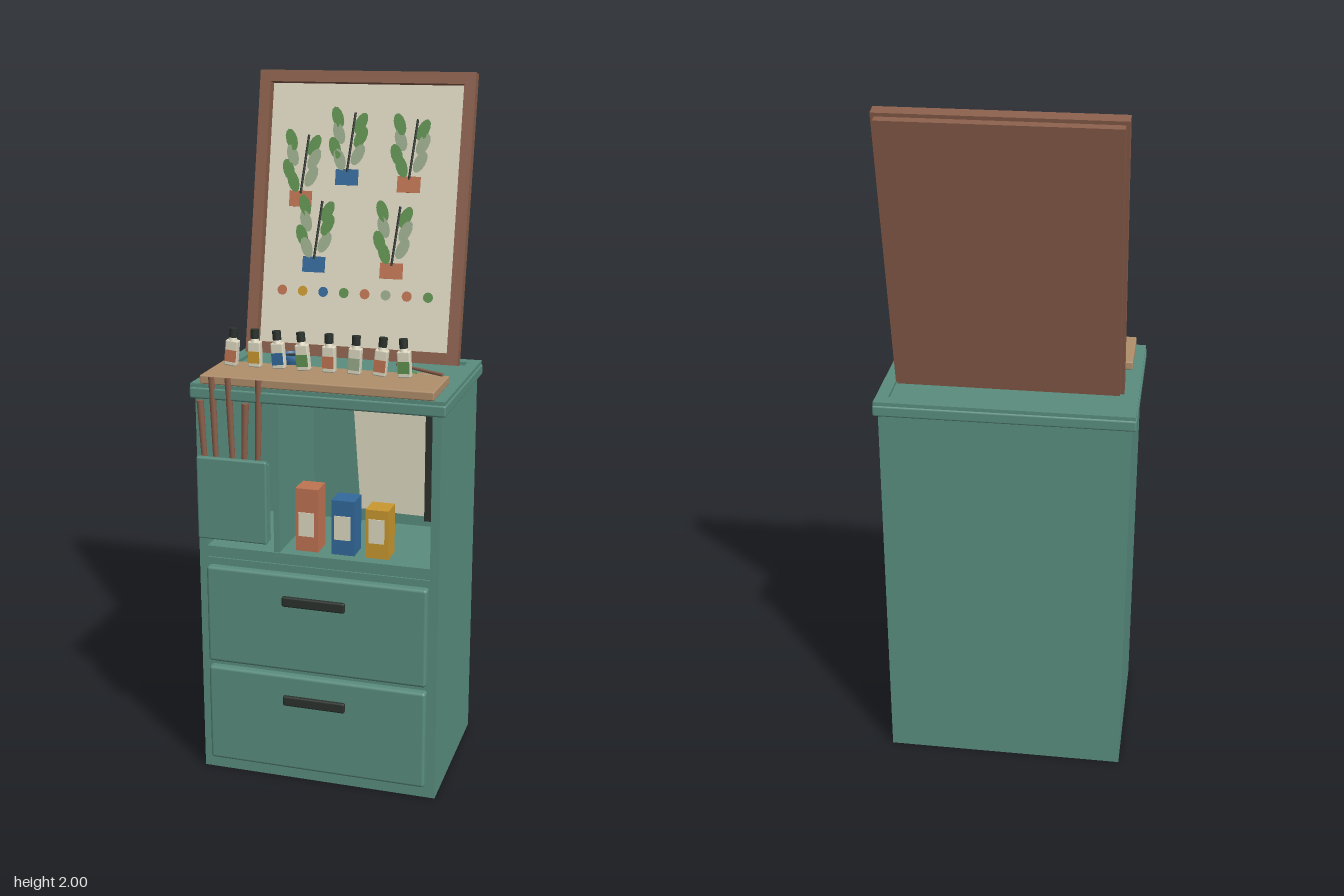
import * as THREE from 'three';
import { RoundedBoxGeometry } from 'three/addons/geometries/RoundedBoxGeometry.js';

const mat = (name, color) => new THREE.MeshStandardMaterial({ name, color });
const M = {
  teal: mat('teal paint', 0x5a8d7f), wood: mat('brown wood', 0x8a5f4b),
  tan: mat('tan wood', 0xb08f6c), cream: mat('cream paper', 0xdfd9c2),
  dark: mat('dark metal', 0x2b322d), green: mat('leaf green', 0x5f9150),
  sage: mat('sage', 0x9aab8c), clay: mat('terracotta', 0xbf7452),
  blue: mat('blue', 0x33699b), gold: mat('ochre', 0xc9982f),
};

function add(parent, name, geo, material, x = 0, y = 0, z = 0) {
  const m = new THREE.Mesh(geo, material);
  m.name = name;
  m.position.set(x, y, z);
  parent.add(m);
  return m;
}

// box given by its min and max on each axis; r rounds the edges
function box(parent, name, material, x0, x1, y0, y1, z0, z1, r = 0) {
  const s = [x1 - x0, y1 - y0, z1 - z0];
  const geo = r ? new RoundedBoxGeometry(...s, 2, r) : new THREE.BoxGeometry(...s);
  return add(parent, name, geo, material, (x0 + x1) / 2, (y0 + y1) / 2, (z0 + z1) / 2);
}

function rod(parent, name, material, a, b, r0, r1 = r0) {
  const A = new THREE.Vector3(...a), B = new THREE.Vector3(...b), d = B.clone().sub(A);
  const m = add(parent, name, new THREE.CylinderGeometry(r1, r0, d.length(), 12), material);
  m.position.copy(A).add(B).multiplyScalar(0.5);
  m.quaternion.setFromUnitVectors(new THREE.Vector3(0, 1, 0), d.normalize());
  return m;
}

function group(parent, name) {
  const g = new THREE.Group();
  g.name = name;
  parent.add(g);
  return g;
}

function cabinet(root) {
  const g = group(root, 'cabinet');
  box(g, 'lowerBody', M.teal, -0.35, 0.35, 0, 0.7, -0.215, 0.255);
  box(g, 'nicheBack', M.teal, -0.35, 0.35, 0.7, 1.14, -0.215, -0.075);
  for (const s of [-1, 1]) box(g, 'sidePanel', M.teal, s * 0.3375 - 0.0125, s * 0.3375 + 0.0125, 0.7, 1.14, -0.075, 0.255);
  box(g, 'divider', M.teal, -0.127, -0.11, 0.7, 1.14, -0.075, 0.25);
  box(g, 'rail', M.teal, -0.325, 0.325, 0.655, 0.668, 0.25, 0.26);
  // top slab with a raised rim
  box(g, 'topSlab', M.teal, -0.363, 0.363, 1.135, 1.168, -0.23, 0.268, 0.006);
  const rim = new THREE.Shape([[-0.36, -0.265], [0.36, -0.265], [0.36, 0.227], [-0.36, 0.227]].map(p => new THREE.Vector2(...p)));
  rim.holes.push(new THREE.Path([[-0.325, -0.25], [-0.325, 0.19], [0.325, 0.19], [0.325, -0.25]].map(p => new THREE.Vector2(...p))));
  add(g, 'topRim', new THREE.ExtrudeGeometry(rim, { depth: 0.018, bevelEnabled: false }), M.teal, 0, 1.16, 0).rotation.x = -Math.PI / 2;
  // drawers
  for (const [y0, y1, h] of [[0.04, 0.335, 0.26], [0.352, 0.645, 0.567]]) {
    box(g, 'drawerFront', M.teal, -0.323, 0.323, y0, y1, 0.24, 0.278, 0.009);
    box(g, 'drawerHandle', M.dark, -0.094, 0.09, h - 0.015, h + 0.015, 0.275, 0.289, 0.005);
  }
}

function brushPocket(root) {
  const g = group(root, 'brushPocket');
  box(g, 'pocketFront', M.teal, -0.338, -0.133, 0.735, 0.975, 0.274, 0.293, 0.005);
  box(g, 'pocketFloor', M.teal, -0.335, -0.136, 0.737, 0.757, 0.25, 0.28);
  for (const x of [-0.335, -0.148]) box(g, 'pocketSide', M.teal, x, x + 0.012, 0.737, 0.96, 0.25, 0.28);
  [[-0.315, -0.333, 1.13], [-0.285, -0.297, 1.2], [-0.235, -0.249, 1.2], [-0.215, -0.2, 1.13], [-0.172, -0.16, 1.2]].forEach(([x0, x1, top]) => {
    rod(g, 'brushHandle', M.wood, [x0, 0.77, 0.262], [x1, top, 0.262], 0.006, 0.01);
  });
}

function nicheContents(root) {
  const g = group(root, 'nicheContents');
  for (const [name, m, x0, x1, top] of [['clayBox', M.clay, -0.072, -0.006, 0.885], ['blueBox', M.blue, 0.033, 0.1, 0.86], ['ochreBox', M.gold, 0.132, 0.198, 0.842]]) {
    box(g, name, m, x0, x1, 0.7, top, 0.15, 0.22);
    const mid = 0.78;
    box(g, name + 'Label', M.cream, x0 + 0.009, x1 - 0.012, mid - 0.035, mid + 0.035, 0.218, 0.223);
  }
  // sheets of paper leaning on the back wall
  [[0.09, 0.07], [0.12, 0.035], [0.18, -0.015]].forEach(([x, tilt], i) => {
    const s = add(g, 'paperSheet', new THREE.BoxGeometry(0.15, 0.37, 0.005), M.cream, x + (i === 2 ? 0.005 : 0.01), 0.93, -0.065 + i * 0.012);
    s.rotation.z = tilt;
  });
  box(g, 'ruler', M.dark, 0.242, 0.265, 0.735, 1.085, -0.032, -0.022);
}

function plant(parent, x, y, pot, flip) {
  const g = group(parent, 'paintedPlant');
  g.position.set(x, y, 0);
  box(g, 'pot', pot, -0.034, 0.034, -0.023, 0.023, 0, 0.004);
  rod(g, 'stem', M.dark, [0, 0.015, 0.004], [0.016, 0.185, 0.004], 0.0035);
  [[-0.036, 0.17, 1], [0.034, 0.155, 1], [-0.03, 0.125, 0], [0.036, 0.115, flip], [-0.04, 0.083, 1], [0.03, 0.065, 0], [-0.024, 0.05, 1 - flip]].forEach(([lx, ly, c]) => {
    const leaf = add(g, 'leaf', new THREE.CircleGeometry(1, 12), c ? M.green : M.sage, lx, ly, 0.005);
    leaf.scale.set(0.017, 0.033, 1);
    leaf.rotation.z = lx < 0 ? 0.35 : -0.45;
  });
}

const swatches = [M.clay, M.gold, M.blue, M.green, M.clay, M.sage, M.clay, M.green];

function picturePanel(root) {
  // leaning panel; local origin is the middle of its front lower edge
  const g = group(root, 'picturePanel');
  g.position.set(0, 1.195, -0.07);
  g.rotation.x = -0.212;
  const H = 0.823;
  for (const s of [-1, 1]) box(g, 'frameSide', M.wood, s * 0.3035 - 0.0165, s * 0.3035 + 0.0165, 0, H, -0.036, 0);
  for (const y of [0, H - 0.033]) box(g, 'frameBar', M.wood, -0.287, 0.287, y, y + 0.033, -0.036, 0);
  box(g, 'backBoard', M.wood, -0.31, 0.31, 0.01, H - 0.01, -0.058, -0.035);
  box(g, 'canvas', M.cream, -0.287, 0.287, 0.033, H - 0.033, -0.036, -0.03);
  const art = group(g, 'painting');
  art.position.z = -0.03;
  const v = y => (y - 1.189) / 0.977;
  [[-0.185, 1.635, M.clay], [-0.048, 1.7, M.blue], [0.138, 1.685, M.clay], [-0.133, 1.45, M.blue], [0.102, 1.442, M.clay]]
    .forEach(([x, y, m], i) => plant(art, x, v(y), m, i % 2));
  swatches.forEach((m, i) => add(art, 'colourDot', new THREE.CircleGeometry(0.015, 12), m, -0.225 + i * 0.063, v(1.373), 0.003));
}

function deskTop(root) {
  const g = group(root, 'deskTop');
  box(g, 'workBoard', M.tan, -0.332, 0.33, 1.178, 1.203, 0.08, 0.266, 0.004);
  // paint tubes
  swatches.forEach((m, i) => {
    const t = group(g, 'paintTube');
    t.position.set(-0.257 + i * 0.0708, 1.225, 0.215);
    t.rotation.z = [-0.1, 0, 0.08, 0.1, 0, -0.06, -0.1, 0.06][i];
    box(t, 'tubeBody', M.cream, -0.018, 0.018, 0, 0.072, -0.012, 0.012, 0.004);
    box(t, 'tubeLabel', m, -0.016, 0.016, 0.012, 0.045, 0.01, 0.0145);
    rod(t, 'tubeNeck', M.cream, [0, 0.07, 0], [0, 0.082, 0], 0.013, 0.009);
    rod(t, 'tubeCap', M.dark, [0, 0.08, 0], [0, 0.105, 0], 0.012);
  });
  // water cup
  const cup = group(g, 'waterCup');
  cup.position.set(-0.132, 1.165, 0.054);
  const profile = [[0, 0], [0.029, 0], [0.033, 0.04], [0.038, 0.046], [0.038, 0.06], [0.035, 0.064], [0.028, 0.064], [0.027, 0.05]];
  add(cup, 'cupBody', new THREE.LatheGeometry(profile.map(p => new THREE.Vector2(...p)), 28), M.blue);
  rod(cup, 'water', M.dark, [0, 0.045, 0], [0, 0.058, 0], 0.028);
  // palette partly under the board
  const disc = add(g, 'palette', new THREE.CylinderGeometry(1, 1, 0.016, 32), M.tan, 0.243, 1.185, 0.075);
  disc.scale.set(0.077, 1, 0.05);
  [[0.222, 0.052, M.green], [0.264, 0.068, M.sage], [0.202, 0.078, M.blue], [0.288, 0.074, M.clay]].forEach(([x, z, m]) =>
    rod(g, 'paintDab', m, [x, 1.19, z], [x, 1.198, z], 0.01));
  rod(g, 'looseBrush', M.wood, [0.163, 1.208, 0.01], [0.314, 1.208, 0.095], 0.004, 0.005);
}

export function createModel() {
  const root = new THREE.Group();
  root.name = 'artistCabinet';
  const parts = [cabinet, brushPocket, nicheContents, picturePanel, deskTop];
  parts.forEach(build => build(root));
  // centre the depth
  root.children.forEach(c => { c.position.z -= 0.0; });
  return root;
}
